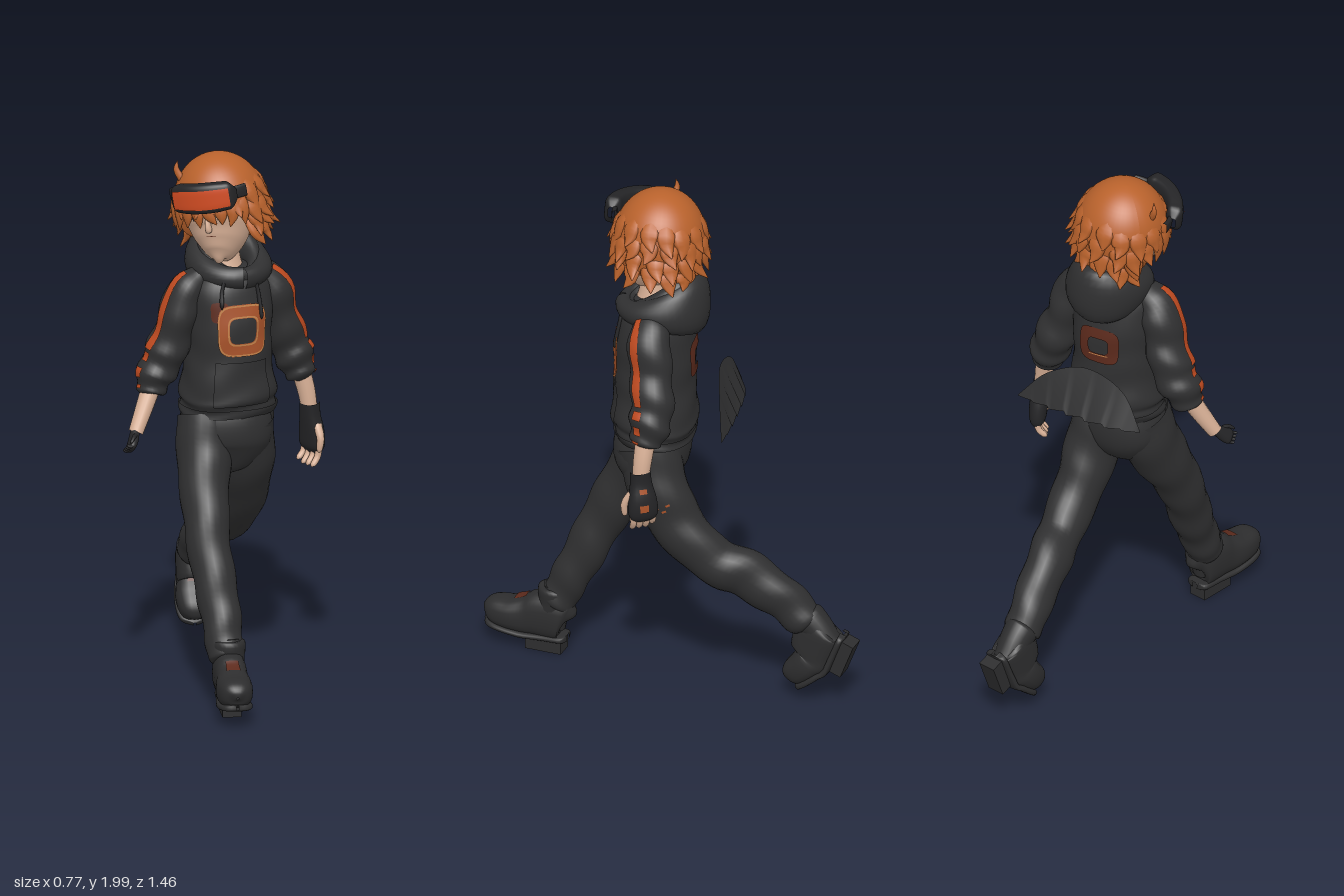
import * as THREE from 'three';
import { mergeVertices } from 'three/addons/utils/BufferGeometryUtils.js';

const mat = (name, color, side = THREE.FrontSide) => {
  const m = new THREE.MeshStandardMaterial({ color, side });
  m.name = name;
  return m;
};
const M = {
  cloth: mat('charcoal cloth', 0x303031, THREE.DoubleSide),
  boot: mat('boot leather', 0x2d2d2e),
  black: mat('black', 0x242426),
  hair: mat('copper hair', 0xb9622c, THREE.DoubleSide),
  skin: mat('skin', 0xd8b096),
  lens: mat('goggle lens', 0xd24c22),
  orange: mat('orange trim', 0xbe4a20),
  burnt: mat('burnt orange', 0xa9532a),
  rust: mat('dark rust', 0x5c2a1c),
  tan: mat('tan piping', 0xc4824a),
};
const V = (x, y, z) => new THREE.Vector3(x, y, z);
const X = V(1, 0, 0), Y = V(0, 1, 0);
const PI = Math.PI;
const pw = (v, e) => Math.sign(v) * Math.abs(v) ** e;

// Surface through rings [x, y, z, rx, rz]; returns point(t, angle, offset). Angle 0 faces front on downward paths.
function loft(rings, { e = 1, ref = X, fold = () => 0 } = {}) {
  const spline = f => new THREE.CatmullRomCurve3(rings.map(f), false, 'catmullrom', 0.5);
  const path = spline(r => V(r[0], r[1], r[2])), size = spline(r => V(r[3], r[4], 0));
  return (t, a, off = 0) => {
    const T = path.getTangent(t), U = ref.clone().addScaledVector(T, -ref.dot(T)).normalize();
    const W = T.clone().cross(U), R = size.getPoint(t), f = 1 + fold(t, a);
    return path.getPoint(t)
      .addScaledVector(U, (Math.max(R.x, 0.001) * f + off) * pw(Math.sin(a), e))
      .addScaledVector(W, (Math.max(R.y, 0.001) * f + off) * pw(Math.cos(a), e));
  };
}

// Grid mesh over part (or all) of a surface
function skin(parent, name, material, p, { t = [0, 1], a = [0, 2 * PI], n = 30, m = 24, off = 0 } = {}) {
  const pos = [], idx = [];
  for (let i = 0; i <= n; i++) for (let j = 0; j <= m; j++)
    pos.push(...p(t[0] + (t[1] - t[0]) * i / n, a[0] + (a[1] - a[0]) * j / m, off).toArray());
  for (let i = 0; i < n; i++) for (let j = 0; j < m; j++) {
    const q = i * (m + 1) + j, r = q + m + 1;
    idx.push(q, r, r + 1, q, r + 1, q + 1);
  }
  let g = new THREE.BufferGeometry();
  g.setAttribute('position', new THREE.Float32BufferAttribute(pos, 3));
  g.setIndex(idx);
  g = mergeVertices(g, 1e-5);
  g.computeVertexNormals();
  const mesh = new THREE.Mesh(g, material);
  mesh.name = name;
  parent.add(mesh);
}
const group = (parent, name, pos = [0, 0, 0], rot = [0, 0, 0]) => {
  const g = new THREE.Group();
  g.name = name;
  g.position.set(...pos);
  g.rotation.set(...rot);
  parent.add(g);
  return g;
};

// Rounded square plate on a surface, between outer and inner fractions of its half size
function plate(parent, name, material, p, [tc, ac], [ht, ha], [outer, inner], off) {
  const q = (s, u) => {
    const r = outer + (inner - outer) * s;
    return p(tc - ht * r * pw(Math.cos(u), 0.5), ac + ha * r * pw(Math.sin(u), 0.5), off);
  };
  skin(parent, name, material, q, { n: 6, m: 48 });
}

function addTorso(root) {
  const g = group(root, 'torso', [0.015, 0, 0.035], [0, 0.25, 0]);
  const p = loft([[0, 1.58, 0, 0.05, 0.05], [0, 1.555, 0, 0.11, 0.1], [0, 1.5, 0, 0.155, 0.128], [0, 1.4, 0, 0.162, 0.146],
    [0, 1.3, 0, 0.158, 0.148], [0, 1.2, 0, 0.162, 0.148], [0, 1.1, 0, 0.178, 0.156], [0, 1.06, 0, 0.174, 0.148], [0, 1.02, 0, 0.172, 0.138]],
  { e: 0.9, fold: (t, a) => 0.025 * t * Math.sin(t * 34 + 2 * Math.sin(a * 2)) });
  skin(g, 'hoodie body', M.cloth, p, { n: 50, m: 40 });
  skin(g, 'hem band', M.cloth, p, { t: [0.9, 1], off: 0.006, n: 5, m: 40 });
  skin(g, 'front pocket', M.cloth, p, { t: [0.58, 0.84], a: [-0.6, 0.6], off: 0.006, n: 12 });
  // framed chest and back patches
  const chest = [[0.432, 0.02], [0.12, 0.56]], back = [[0.44, PI], [0.09, 0.46]];
  plate(g, 'chest patch smudge', M.rust, p, [0.345, -0.48], [0.045, 0.22], [1, 0], 0.003);
  plate(g, 'chest patch border', M.burnt, p, ...chest, [1, 0.5], 0.005);
  plate(g, 'chest patch outer piping', M.tan, p, ...chest, [0.98, 0.92], 0.007);
  plate(g, 'chest patch inner piping', M.tan, p, ...chest, [0.58, 0.52], 0.007);
  plate(g, 'chest patch centre', M.cloth, p, ...chest, [0.5, 0], 0.005);
  plate(g, 'back patch', M.rust, p, ...back, [1, 0.45], 0.005);
  skin(g, 'back patch piping', M.tan, p, { t: [0.485, 0.49], a: [PI - 0.2, PI + 0.2], off: 0.007, n: 2, m: 8 });
  // hood collar, swelling into a folded bag at the back
  const ring = (s, dy, r) => [...Array(17)].map((_, i) => {
    const u = i / 16 * 2 * PI, b = (1 - Math.cos(u)) / 2;
    return [0.015 + s * 0.11 * Math.sin(u), 1.545 + 0.025 * b + dy * b, 0.005 + s * 0.11 * Math.cos(u) - 0.04 * b, r * (0.04 + 0.075 * b ** 1.5), r * (0.03 + 0.032 * b)];
  });
  skin(g, 'hood', M.cloth, loft(ring(1, 0, 1), { ref: Y, fold: (t, a) => 0.06 * Math.sin(a * 3 + t * 9) }), { n: 40 });
  skin(g, 'hood inner fold', M.cloth, loft(ring(0.8, 0.05, 0.75), { ref: Y }), { n: 40 });
  for (const s of [-1, 1]) {
    const x = s * 0.07, low = s > 0 ? 1.39 : 1.44;
    skin(g, 'drawstring', M.black, loft([[x * 0.8, 1.55, 0.116, 0.007, 0.007], [x, 1.5, 0.122, 0.007, 0.007], [x * 1.1, low + 0.02, 0.139, 0.008, 0.008], [x * 1.1, low, 0.141, 0.001, 0.001]]), { n: 12, m: 8 });
  }
  skin(root, 'neck', M.skin, loft([[0, 1.7, 0.04, 0.05, 0.05], [0.005, 1.6, 0.045, 0.055, 0.055], [0.01, 1.52, 0.04, 0.075, 0.09]]), { n: 10 });
}

function addHand(root, name, pos, rot, scale, fingers, fingerMaterial) {
  const g = group(root, name, pos, rot);
  g.scale.setScalar(scale);
  const glove = loft([[0, 0.03, 0, 0.034, 0.036], [0, -0.02, 0, 0.032, 0.04], [0.005, -0.08, 0, 0.034, 0.052], [0.003, -0.14, 0, 0.028, 0.052], [-0.005, -0.165, 0, 0.004, 0.02]], { e: 0.85 });
  skin(g, 'glove', M.black, glove, { n: 16 });
  for (const t of [[0.3, 0.38], [0.54, 0.64]])
    skin(g, 'glove badge', M.burnt, glove, { t, a: [1.3, 1.75], off: 0.004, n: 4, m: 5 });
  for (let i = 0; i < 4; i++) {
    const z = 0.036 - i * 0.024, d = fingers * (i === 3 ? 0.75 : 1);
    skin(g, 'finger', fingerMaterial, loft([[0.003, -0.13, z, 0.013, 0.013], [-0.005, -0.15 - d * 0.5, z, 0.012, 0.012], [-0.03, -0.155 - d, z, 0.01, 0.01], [-0.033, -0.162 - d, z, 0.001, 0.001]]), { n: 8, m: 8 });
  }
  skin(g, 'thumb', fingerMaterial, loft([[0, -0.05, 0.035, 0.016, 0.016], [-0.012, -0.09, 0.062, 0.014, 0.014], [-0.02, -0.135, 0.062, 0.01, 0.01], [-0.02, -0.142, 0.061, 0.001, 0.001]]), { n: 8, m: 8 });
}

function addArm(root, name, s, sleeve, forearm) {
  const g = group(root, name);
  const p = loft(sleeve, { fold: (t, a) => (0.03 + 0.08 * t) * Math.sin(t * 32 + 1.5 * Math.sin(a + s)) });
  skin(g, 'sleeve', M.cloth, p, { n: 48 });
  for (const t of [[0.06, 0.5], [0.53, 0.6], [0.65, 0.72], [0.78, 0.83]])
    skin(g, 'sleeve stripe', M.orange, p, { t, a: s > 0 ? [0.98, 1.42] : [-1.32, -0.88], off: 0.005, n: 14, m: 5 });
  skin(g, 'forearm', M.skin, loft(forearm), { n: 10, m: 16 });
}

// Boot: sole at local y = 0, toe toward +z, bent upward at the ball of the foot; shaft is its top [y, z]
function addBoot(root, name, pos, pitch, bend, [sy, sz]) {
  const g = group(root, name, pos, [pitch, 0, 0]);
  const flex = p => (...q) => {
    const v = p(...q), k = Math.min(Math.max((v.z - 0.08) / 0.06, 0), 1);
    v.z -= 0.1;
    v.applyAxisAngle(X, -bend * k);
    v.z += 0.1;
    return v;
  };
  const upper = flex(loft([[0, 0.08, -0.06, 0.005, 0.01], [0, 0.085, -0.054, 0.042, 0.07], [0, 0.09, -0.03, 0.058, 0.09], [0, 0.09, 0.04, 0.06, 0.09],
    [0, 0.078, 0.1, 0.06, 0.077], [0, 0.064, 0.17, 0.067, 0.062], [0, 0.06, 0.23, 0.058, 0.052], [0, 0.055, 0.26, 0.038, 0.034], [0, 0.05, 0.272, 0.004, 0.004]], { e: 0.8 }));
  skin(g, 'boot upper', M.boot, upper, { n: 36 });
  skin(g, 'boot tongue patch', M.rust, upper, { t: [0.46, 0.58], a: [-0.3, 0.3], off: 0.004, n: 5, m: 5 });
  skin(g, 'boot sole', M.boot, flex(loft([[0, 0.008, -0.06, 0.01, 0.013], [0, 0.008, -0.045, 0.045, 0.013], [0, 0.008, 0.03, 0.052, 0.013], [0, 0.008, 0.16, 0.065, 0.013],
    [0, 0.011, 0.24, 0.052, 0.013], [0, 0.015, 0.268, 0.005, 0.008]], { e: 0.6 })), { n: 30 });
  skin(g, 'boot shaft', M.boot, loft([[0, sy + 0.005, sz, 0.02, 0.02], [0, sy, sz, 0.06, 0.062], [0, sy * 0.7, sz * 0.6, 0.058, 0.06], [0, 0.06, 0.02, 0.056, 0.07]]), { n: 12 });
  const heel = new THREE.Mesh(new THREE.BoxGeometry(0.07, 0.06, 0.14), M.boot);
  heel.name = 'boot heel';
  heel.position.set(0, -0.02, 0.025);
  g.add(heel);
}

function addHead(root) {
  const g = group(root, 'head', [-0.012, 1.805, 0.03], [0.04, -0.43, 0.17]);
  const face = loft([[0, 0.16, 0, 0.06, 0.06], [0, 0.08, 0.01, 0.13, 0.135], [0, 0, 0.02, 0.135, 0.143], [0, -0.07, 0.035, 0.12, 0.132],
    [0, -0.125, 0.06, 0.094, 0.106], [0, -0.165, 0.085, 0.058, 0.072], [0, -0.185, 0.1, 0.028, 0.035], [0, -0.188, 0.1, 0.002, 0.002]]);
  skin(g, 'face', M.skin, face, { n: 36, m: 32 });
  skin(g, 'nose', M.skin, loft([[0, 0, 0.155, 0.006, 0.008], [0, -0.045, 0.168, 0.011, 0.018], [0, -0.06, 0.165, 0.012, 0.012], [0, -0.064, 0.162, 0.001, 0.001]]), { n: 10, m: 12 });
  skin(g, 'mouth', M.rust, face, { t: [0.6, 0.608], a: [-0.2, 0.2], off: 0.002, n: 2, m: 8 });
  for (const s of [-1, 1]) {
    const c = s * 0.4;
    skin(g, 'eye', M.black, face, { t: [0.35, 0.395], a: [c - 0.1, c + 0.1], off: 0.002, n: 4, m: 6 });
    skin(g, 'iris', M.orange, face, { t: [0.36, 0.39], a: [c - 0.04, c + 0.04], off: 0.004, n: 4, m: 4 });
  }
  // hair cap, tucked inside the head where the face shows
  const cap = new THREE.SphereGeometry(1, 48, 32), P = cap.attributes.position, v = V(0, 0, 0);
  for (let i = 0; i < P.count; i++) {
    v.fromBufferAttribute(P, i).multiply(V(0.17, 0.189, 0.17));
    if (v.y < 0.03 && Math.abs(Math.atan2(v.x, v.z)) < 1.25) v.multiplyScalar(0.75);
    if (v.y < -0.1) v.y = -0.1 + (v.y + 0.1) * 0.5;
    P.setXYZ(i, v.x, v.y, v.z);
  }
  cap.computeVertexNormals();
  const capMesh = new THREE.Mesh(cap, M.hair);
  capMesh.name = 'hair cap';
  g.add(capMesh);
  // layered tufts: [height, count, length, flick], parted further round on the right side of the face
  let seed = 7;
  const rnd = () => (seed = (seed * 16807) % 2147483647) / 2147483647;
  const tuft = (a, y, len, flick, w) => {
    const r = Math.max(0.165 * Math.sqrt(1 - (y / 0.19) ** 2), 0.118), n = V(Math.sin(a), 0, Math.cos(a));
    const at = (rad, yy, rx, rz, tw = 0) => [n.x * rad + n.z * tw, yy, n.z * rad - n.x * tw, rx, rz];
    skin(g, 'hair tuft', M.hair, loft([at(r - 0.03, y + 0.045, w * 0.5, 0.008), at(r - 0.002, y, w, 0.014),
      at(r + 0.01, y - len * 0.5, w * 0.75, 0.012, 0.006), at(r + flick, y - len, 0.002, 0.002, (rnd() - 0.3) * 0.04)], { ref: V(n.z, 0, -n.x) }), { n: 9, m: 8 });
  };
  for (const [y, count, len, flick] of [[0.06, 14, 0.07, 0.032], [0.01, 16, 0.07, 0.032], [-0.04, 16, 0.07, 0.032], [-0.085, 15, 0.065, 0.03]])
    for (let k = 0; k < count; k++) {
      const turn = (k + rnd() * 0.5 + (y * 37 % 1)) / count * 2 * PI, a = Math.atan2(Math.sin(turn), Math.cos(turn));
      const part = y < -0.06 ? 1.05 : y < -0.03 ? 0.9 : y < 0.04 ? 0.8 : 0;
      if (a < part && a > -part - 0.4 && part) continue;
      tuft(a, y + (rnd() - 0.5) * 0.025, len * (0.85 + rnd() * 0.35), flick * (0.7 + rnd() * 0.5), 0.036);
    }
  for (const a of [-1.1, -0.8, -0.5, -0.22, 0.05, 0.3, 0.55, 0.8]) tuft(a, 0.035, 0.07 + 0.035 * Math.abs(a) + 0.015 * (rnd() - 0.5), 0.012, 0.03);
  skin(g, 'cowlick', M.hair, loft([[-0.105, 0.1, 0.06, 0.015, 0.012], [-0.125, 0.15, 0.06, 0.012, 0.01], [-0.115, 0.185, 0.06, 0.001, 0.001]]), { n: 8, m: 8 });
  // goggles bent around the forehead
  const arc = (a0, a1, n, f) => [...Array(n + 1)].map((_, i) => {
    const a = a0 + (a1 - a0) * i / n, [h, d, r] = f(i / n);
    return [Math.sin(a) * r, 0.072, Math.cos(a) * r, h, d];
  });
  const gog = loft(arc(-0.7, 0.7, 10, k => [k % 1 ? 0.056 - 0.014 * Math.abs(2 * k - 1) ** 3 : 0.02, k % 1 ? 0.03 : 0.012, 0.186]), { ref: Y, e: 0.55 });
  skin(g, 'goggle frame', M.black, gog, { n: 36, m: 32 });
  skin(g, 'goggle lens', M.lens, gog, { t: [0.13, 0.87], a: [-0.42, 0.42], off: 0.004, n: 20, m: 12 });
  for (const s of [[-0.95, -0.66], [0.66, 0.95]])
    skin(g, 'goggle strap', M.black, loft(arc(...s, 5, () => [0.024, 0.01, 0.174]), { ref: Y, e: 0.6 }), { n: 10, m: 12 });
}

function addLegs(root) {
  const fold = (t, a) => (0.025 + 0.04 * t) * Math.sin(t * 38 + 2 * Math.sin(a + 0.6));
  skin(root, 'trouser seat', M.cloth, loft([[0.005, 1.06, 0.04, 0.15, 0.12], [0.005, 0.98, 0.05, 0.17, 0.135], [0.005, 0.9, 0.05, 0.162, 0.125], [0, 0.82, 0.06, 0.1, 0.075], [0, 0.79, 0.06, 0.02, 0.03]], { e: 0.9 }), { n: 24, m: 32 });
  skin(root, 'right trouser leg', M.cloth, loft([[-0.07, 1.0, 0.06, 0.105, 0.115], [-0.083, 0.85, 0.115, 0.1, 0.114], [-0.088, 0.7, 0.205, 0.087, 0.097], [-0.082, 0.55, 0.285, 0.08, 0.084],
    [-0.06, 0.4, 0.352, 0.077, 0.078], [-0.048, 0.28, 0.41, 0.07, 0.071], [-0.042, 0.2, 0.445, 0.066, 0.067], [-0.04, 0.19, 0.45, 0.02, 0.02]], { fold }), { n: 50 });
  const left = loft([[0.075, 1.0, 0.05, 0.105, 0.115], [0.092, 0.85, 0.0, 0.1, 0.114], [0.09, 0.7, -0.075, 0.09, 0.102], [0.07, 0.565, -0.2, 0.082, 0.09],
    [0.025, 0.5, -0.32, 0.078, 0.095], [-0.015, 0.405, -0.45, 0.072, 0.082], [-0.038, 0.32, -0.535, 0.066, 0.068], [-0.04, 0.31, -0.545, 0.02, 0.02]], { fold });
  skin(root, 'left trouser leg', M.cloth, left, { n: 50 });
  for (let i = 0; i < 5; i++)
    skin(root, 'thigh stitching', M.burnt, left, { t: [0.2 + (i % 2) * 0.015, 0.207 + (i % 2) * 0.015], a: [1.2 + i * 0.2, 1.36 + i * 0.2], off: 0.004, n: 2, m: 3 });
  addBoot(root, 'right boot', [-0.033, 0.05, 0.46], 0, 0.12, [0.21, -0.01]);
  addBoot(root, 'left boot', [-0.04, 0.234, -0.67], 1.2, 0.5, [0.16, -0.045]);
}

export function createModel() {
  const root = new THREE.Group();
  root.name = 'walking figure';
  addTorso(root);
  addHead(root);
  addLegs(root);
  addArm(root, 'left arm', 1,
    [[0.12, 1.55, 0.01, 0.04, 0.05], [0.178, 1.48, -0.005, 0.07, 0.08], [0.21, 1.36, -0.025, 0.067, 0.08], [0.246, 1.25, -0.045, 0.076, 0.08], [0.275, 1.17, -0.045, 0.068, 0.074], [0.29, 1.115, -0.04, 0.05, 0.054], [0.292, 1.105, -0.04, 0.02, 0.02]],
    [[0.288, 1.15, -0.04, 0.036, 0.038], [0.312, 1.06, -0.035, 0.033, 0.035], [0.326, 0.97, -0.03, 0.028, 0.03]]);
  addHand(root, 'left hand', [0.325, 0.985, -0.032], [0.05, 0.65, 0.06], 1.02, 0.04, M.skin);
  addArm(root, 'right arm', -1,
    [[-0.09, 1.545, 0.07, 0.04, 0.05], [-0.15, 1.475, 0.08, 0.07, 0.08], [-0.183, 1.36, 0.078, 0.07, 0.082], [-0.22, 1.25, 0.075, 0.077, 0.082], [-0.26, 1.17, 0.088, 0.068, 0.075], [-0.278, 1.115, 0.105, 0.05, 0.054], [-0.28, 1.105, 0.108, 0.02, 0.02]],
    [[-0.272, 1.14, 0.1, 0.036, 0.037], [-0.305, 1.06, 0.135, 0.032, 0.033], [-0.34, 0.98, 0.172, 0.027, 0.027]]);
  addHand(root, 'right hand', [-0.342, 0.985, 0.175], [-0.75, 0.3, -0.35], 0.52, 0.005, M.black);
  // curved fan blade hanging behind the waist, with a notched lower edge
  const curve = pts => new THREE.CatmullRomCurve3(pts.map(q => V(...q)));
  const top = curve([[0.2, 1.13, -0.298], [0.1, 1.245, -0.25], [-0.04, 1.3, -0.195], [-0.2, 1.255, -0.173], [-0.29, 1.13, -0.178]]);
  const low = curve([[0.2, 1.125, -0.3], [0.08, 1.12, -0.288], [-0.05, 1.12, -0.268], [-0.19, 1.12, -0.235], [-0.29, 1.12, -0.18]]);
  skin(root, 'fan blade', M.cloth, (t, s) => {
    const v = top.getPoint(t).lerp(low.getPoint(t), s);
    v.y += s * 0.018 * (t * 7 % 1) * Math.sin(PI * t);
    return v;
  }, { a: [0, 1], n: 56, m: 8 });
  return root;
}
